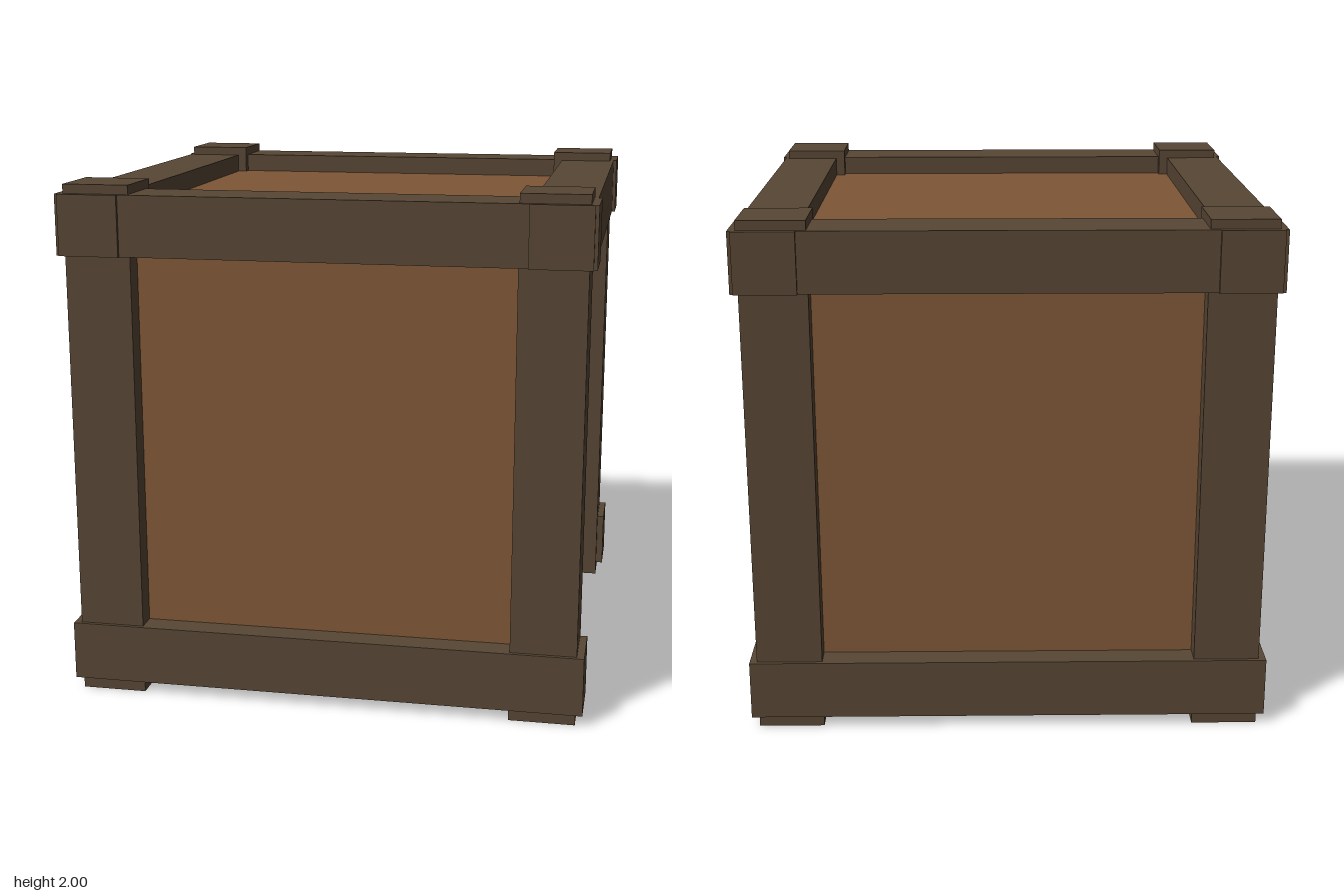
import * as THREE from 'three';

export function createModel() {
  const group = new THREE.Group();
  const panelWood = new THREE.MeshStandardMaterial({ color: 0x7f5636 });
  const frameWood = new THREE.MeshStandardMaterial({ color: 0x574634 });

  function addBox(name, material, size, position) {
    const mesh = new THREE.Mesh(new THREE.BoxGeometry(...size), material);
    mesh.name = name;
    mesh.position.set(...position);
    group.add(mesh);
  }

  // Plain crate body, set back inside the frame
  addBox('crateBody', panelWood, [1.78, 1.78, 1.78], [0, 1, 0]);

  // Four upright corner posts
  for (const x of [-1, 1]) {
    for (const z of [-1, 1]) {
      addBox('cornerPost', frameWood, [0.252, 2, 0.252], [x * 0.846, 1, z * 0.846]);
    }
  }

  // Front and back rails at top and bottom; side rails only at the top
  const rail = 0.23, offset = 0.872, topY = 1.85, bottomY = 0.16;
  for (const s of [-1, 1]) {
    addBox('topCrossRail', frameWood, [2, rail, rail], [0, topY, s * offset]);
    addBox('bottomCrossRail', frameWood, [2, rail, rail], [0, bottomY, s * offset]);
    addBox('topSideRail', frameWood, [rail, rail, 2], [s * offset, topY, 0]);
  }

  return group;
}
